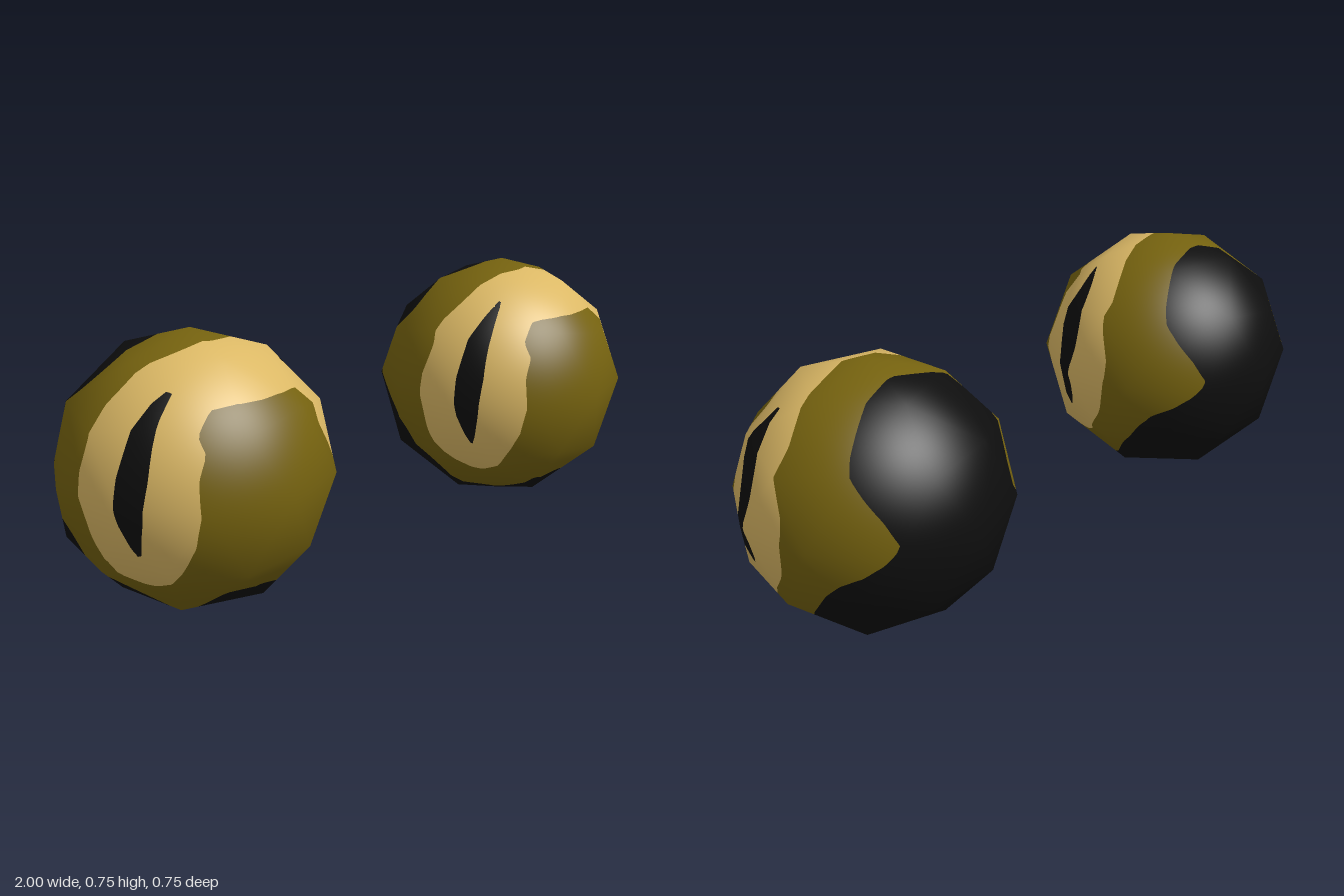
import * as THREE from 'three';

const R = 0.373, CENTRE_X = 0.646, STEPS = 12;

const olive = new THREE.MeshStandardMaterial({ name: 'olive', color: 0x75620f });
const tan = new THREE.MeshStandardMaterial({ name: 'tan', color: 0xdbb865 });
const black = new THREE.MeshStandardMaterial({ name: 'black', color: 0x0e0e0e });

// Outlines of the painted regions, on a stereographic map of one half of the eye:
// (z, y) / (1 + |x|), where radius 1 is the middle seam x = 0.
const IRIS = [
  [0.23, 1.1], [0.209, 0.978], [0.076, 0.6], [0, 0.354], [0, 0.229], [-0.042, 0.093],
  [-0.042, 0.023], [-0.014, -0.132], [0, -0.169], [0.051, -0.241], [0.092, -0.313],
  [0.161, -0.369], [0.214, -0.377], [0.302, -0.341], [0.387, -0.25], [0.442, -0.167],
  [0.475, -0.023], [0.465, 0.13], [0.485, 0.241], [0.435, 0.315], [0.46, 0.457],
  [0.61, 0.55], [0.752, 0.659], [0.83, 0.73],
];
const PUPIL = [
  [0.258, 0.558], [0.201, 0.415], [0.162, 0.287], [0.139, 0.102], [0.15, -0.062],
  [0.174, -0.151], [0.204, -0.217], [0.225, -0.154], [0.243, -0.064], [0.263, 0.108],
  [0.266, 0.301], [0.263, 0.429],
];
const BACK = [
  [-0.25, 1.1], [-0.238, 0.971], [-0.225, 0.68], [-0.271, 0.384], [-0.295, 0.306],
  [-0.362, 0.233], [-0.451, 0.147], [-0.522, 0.047], [-0.452, -0.039], [-0.365, -0.101],
  [-0.256, -0.141], [-0.195, -0.2], [-0.078, -0.351], [0, -0.474], [0.073, -0.552],
  [0.207, -0.671], [0.32, -0.665], [0.48, -0.61], [0.68, -0.73], [0.75, -0.82],
  [0.2, -1.3], [-1.3, -1.3], [-1.5, 0], [-1.2, 1.3],
];

// Signed distance to an outline, positive inside
function inside(outline, p) {
  const d = p.clone().normalize(), k = 1 + Math.abs(d.x);
  const u = d.z / k, v = d.y / k;
  let best = Infinity, sign = -1;
  outline.forEach(([ax, ay], i) => {
    const [bx, by] = outline[(i + 1) % outline.length];
    const ex = bx - ax, ey = by - ay;
    const t = THREE.MathUtils.clamp(((u - ax) * ex + (v - ay) * ey) / (ex * ex + ey * ey), 0, 1);
    best = Math.min(best, Math.hypot(u - ax - t * ex, v - ay - t * ey));
    if ((ay > v) !== (by > v) && u < ax + ((v - ay) / ey) * ex) sign = -sign;
  });
  return sign * best;
}

// Cut triangles along an outline into an inner and an outer set
function cut(triangles, outline) {
  const result = { inner: [], outer: [] };
  for (const tri of triangles) {
    const f = tri.map((p) => inside(outline, p));
    for (const [key, s] of [['inner', 1], ['outer', -1]]) {
      const poly = [];
      for (let i = 0; i < 3; i++) {
        const j = (i + 1) % 3;
        if (s * f[i] >= 0) poly.push(tri[i]);
        if (f[i] * f[j] < 0) poly.push(tri[i].clone().lerp(tri[j], f[i] / (f[i] - f[j])));
      }
      for (let i = 2; i < poly.length; i++) result[key].push([poly[0], poly[i - 1], poly[i]]);
    }
  }
  return result;
}

// Facets of an 80-sided ball with a corner at the top, each divided flat into small triangles
function ballTriangles() {
  const ball = new THREE.IcosahedronGeometry(R, 1);
  ball.rotateX(-Math.atan((1 + Math.sqrt(5)) / 2));
  ball.rotateY(Math.PI / 2);
  const pos = ball.attributes.position, triangles = [];
  for (let f = 0; f < pos.count; f += 3) {
    const [a, b, c] = [0, 1, 2].map((i) => new THREE.Vector3().fromBufferAttribute(pos, f + i));
    const ab = b.clone().sub(a), ac = c.clone().sub(a);
    const at = (i, j) => a.clone().addScaledVector(ab, i / STEPS).addScaledVector(ac, j / STEPS);
    for (let i = 0; i < STEPS; i++) {
      for (let j = 0; i + j < STEPS; j++) {
        triangles.push([at(i, j), at(i + 1, j), at(i, j + 1)]);
        if (i + j < STEPS - 1) triangles.push([at(i + 1, j), at(i + 1, j + 1), at(i, j + 1)]);
      }
    }
  }
  return triangles;
}

// Smooth-shaded mesh from triangles; side -1 mirrors it
function patch(name, triangles, material, side) {
  const points = [], normals = [];
  for (const tri of triangles) {
    for (const p of side > 0 ? tri : [...tri].reverse()) {
      const n = p.clone().normalize();
      points.push(side * p.x, p.y, p.z);
      normals.push(side * n.x, n.y, n.z);
    }
  }
  const geometry = new THREE.BufferGeometry();
  geometry.setAttribute('position', new THREE.Float32BufferAttribute(points, 3));
  geometry.setAttribute('normal', new THREE.Float32BufferAttribute(normals, 3));
  const mesh = new THREE.Mesh(geometry, material);
  mesh.name = name;
  return mesh;
}

export function createModel() {
  const model = new THREE.Group();
  model.name = 'pairOfEyes';
  const back = cut(ballTriangles(), BACK);
  const iris = cut(back.outer, IRIS);
  const pupil = cut(iris.inner, PUPIL);
  for (const side of [1, -1]) {
    const eye = new THREE.Group();
    eye.name = side > 0 ? 'leftEye' : 'rightEye';
    eye.position.set(side * CENTRE_X, R, 0);
    eye.add(
      patch('eyeBack', back.inner, black, side),
      patch('eyeball', iris.outer, olive, side),
      patch('irisBand', pupil.outer, tan, side),
      patch('slitPupils', pupil.inner, black, side),
    );
    model.add(eye);
  }
  return model;
}
